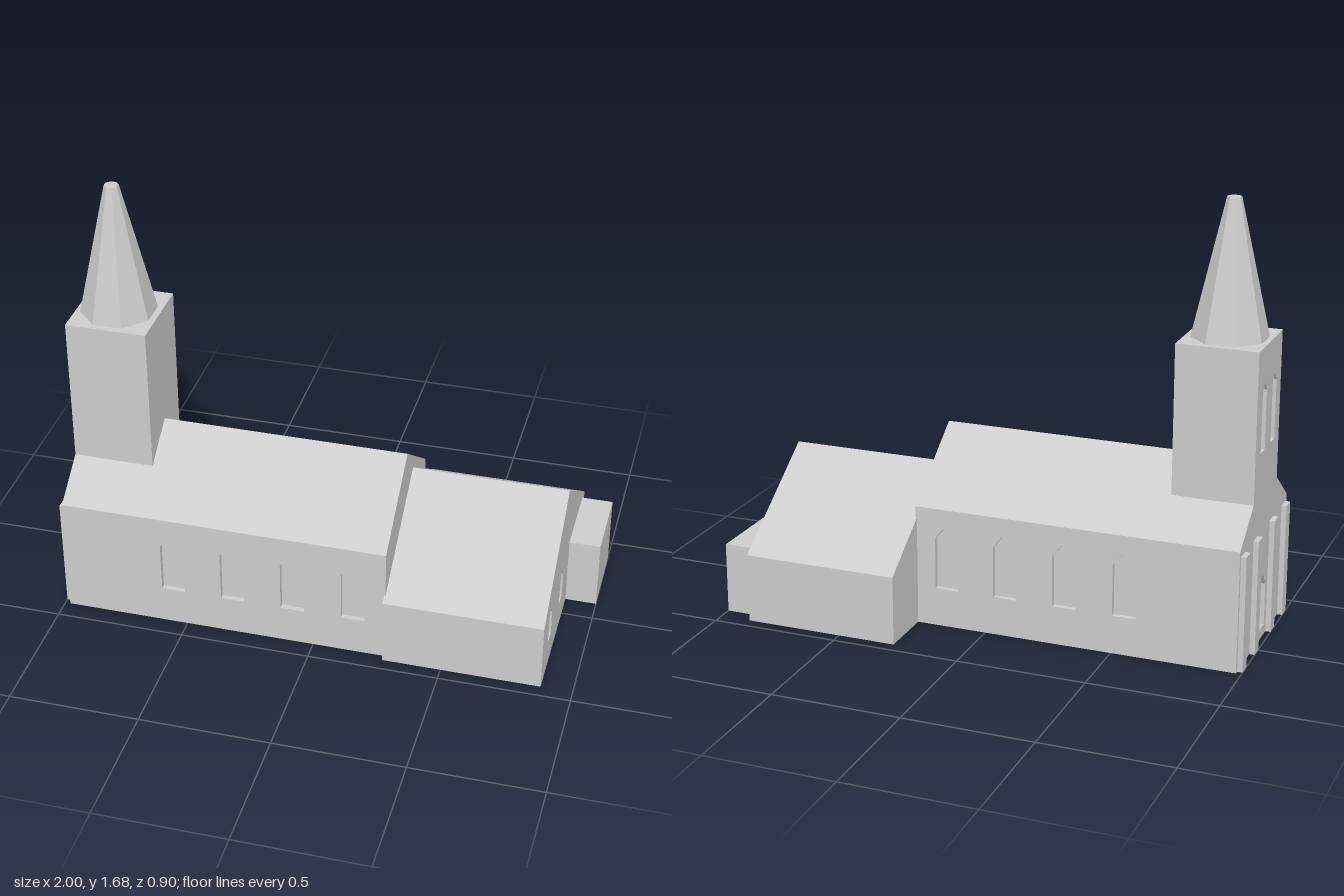
import * as THREE from 'three';

const DEPTH = 0.02; // window recess, also the thickness of the pierced walls
const stone = new THREE.MeshStandardMaterial({ color: 0xcccccc });
stone.name = 'light grey';

const polygon = (pts, Type = THREE.Shape) => new Type(pts.map(p => new THREE.Vector2(...p)));

// Pointed opening centred on u, from y0 to y1
function opening(u, width, y0, y1) {
  const h = width / 2, shoulder = y1 - h;
  return polygon([[u - h, y0], [u + h, y0], [u + h, shoulder], [u + h * 0.25, y1],
    [u - h * 0.25, y1], [u - h, shoulder]], THREE.Path);
}

function extrude(outline, holes, depth) {
  const shape = polygon(outline);
  shape.holes = holes;
  return new THREE.ExtrudeGeometry(shape, { depth, bevelEnabled: false });
}

// Section in (z, y), extruded from x0 to x1
function alongX(outline, holes, x0, x1) {
  const geo = extrude(outline.map(([z, y]) => [-z, y]), holes, x1 - x0);
  return geo.rotateY(Math.PI / 2).translate(x0, 0, 0);
}

export function createModel() {
  const model = new THREE.Group();
  model.name = 'church';

  const add = (name, geo) => {
    const mesh = new THREE.Mesh(geo, stone);
    mesh.name = name;
    model.add(mesh);
    return mesh;
  };
  const block = (name, x0, x1, y0, y1, z0, z1) =>
    add(name, new THREE.BoxGeometry(x1 - x0, y1 - y0, z1 - z0)
      .translate((x0 + x1) / 2, (y0 + y1) / 2, (z0 + z1) / 2));

  // Nave: inner body carrying the roof, with pierced walls on both sides
  const back = -0.225, front = 0.425, eaves = 0.47;
  const west = -0.98, east = 0.28;
  add('nave', alongX([
    [back + DEPTH, 0], [front - DEPTH, 0], [front - DEPTH, eaves], [front, eaves],
    [0.1, 0.708], [back, eaves], [back + DEPTH, eaves],
  ], [], west + DEPTH, east));
  for (const [name, z] of [['frontWall', front - DEPTH], ['backWall', back]]) {
    const windows = [-0.55, -0.315, -0.08, 0.155].map(x => opening(x, 0.092, 0.15, 0.395));
    const x0 = west + DEPTH;
    add(name, extrude([[x0, 0], [east, 0], [east, eaves], [x0, eaves]], windows, DEPTH)
      .translate(0, 0, z));
  }

  // Entrance wall, rising into the tower face, with door and belfry windows
  const towerBack = -0.062, towerFront = 0.258, towerTop = 1.165;
  add('entranceWall', alongX([
    [back, 0], [front, 0], [front, eaves], [towerFront, 0.593], [towerFront, towerTop],
    [towerBack, towerTop], [towerBack, 0.59], [back, eaves],
  ], [
    opening(-0.1, 0.1, 0.04, 0.255),
    opening(-0.035, 0.055, 0.765, 1.02),
    opening(-0.17, 0.055, 0.765, 1.02),
  ], west, west + DEPTH));

  // Pilasters on the entrance wall
  for (const z of [-0.183, -0.018, 0.205, 0.377])
    block('pilaster', -1, west, 0, 0.447, z - 0.027, z + 0.027);

  // Tower and eight-sided spire
  block('tower', west + DEPTH, -0.67, 0.4, towerTop, towerBack, towerFront);
  const spire = new THREE.CylinderGeometry(0.027, 0.144, 0.515, 8).toNonIndexed();
  spire.computeVertexNormals();
  add('spire', spire.rotateY(Math.PI / 8).translate(-0.827, towerTop + 0.2575, 0.098));

  // Cross wing with a pierced gable wall
  const gable = [[-0.452, 0], [0.45, 0], [0.45, 0.268], [0, 0.58], [-0.452, 0.268]];
  add('wing', alongX(gable, [], 0.275, 0.88 - DEPTH));
  add('wingGableWall', alongX(gable, [
    opening(-0.3, 0.062, 0.115, 0.248),
    opening(-0.063, 0.062, 0.115, 0.248),
  ], 0.88 - DEPTH, 0.88));

  // Flat-roofed side room
  block('sideRoom', 0.88, 1, 0, 0.275, -0.398, -0.092);

  return model;
}
